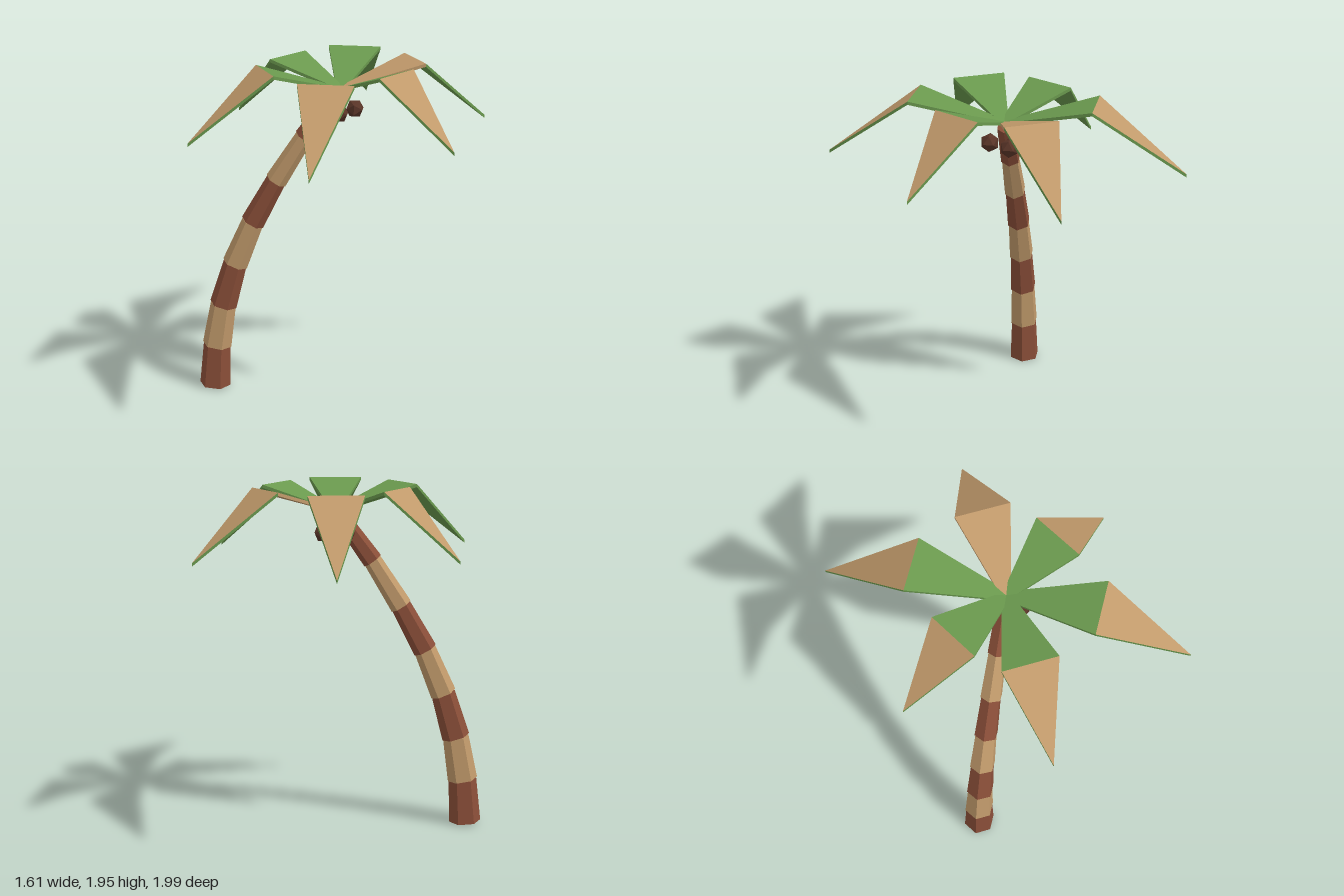
import * as THREE from 'three';

const material = (name, color) => {
  const m = new THREE.MeshStandardMaterial({ color, flatShading: true });
  m.name = name;
  return m;
};

// Thin slab under a convex outline (counter-clockwise from above): group 0 is the top, group 1 the rest
function slab(top, thickness) {
  const low = top.map(([x, y, z]) => [x, y - thickness, z]);
  const pos = [];
  const tri = (a, b, c) => pos.push(...a, ...b, ...c);
  const n = top.length;
  for (let i = 1; i < n - 1; i++) tri(top[0], top[i], top[i + 1]);
  const topCount = pos.length / 3;
  for (let i = 1; i < n - 1; i++) tri(low[0], low[i + 1], low[i]);
  for (let i = 0; i < n; i++) {
    const j = (i + 1) % n;
    tri(top[i], low[i], low[j]);
    tri(top[i], low[j], top[j]);
  }
  const g = new THREE.BufferGeometry();
  g.setAttribute('position', new THREE.Float32BufferAttribute(pos, 3));
  g.computeVertexNormals();
  g.addGroup(0, topCount, 0);
  g.addGroup(topCount, pos.length / 3 - topCount, 1);
  return g;
}

export function createModel() {
  const brown = material('brown bark', 0x8b4f39);
  const tan = material('tan', 0xc19a6b);
  const green = material('leaf green', 0x6a994e);
  const dark = material('coconut brown', 0x5a3528);

  const model = new THREE.Group();
  model.name = 'palmTree';
  const add = (parent, name, geometry, mat) => {
    const mesh = new THREE.Mesh(geometry, mat);
    mesh.name = name;
    parent.add(mesh);
    return mesh;
  };

  // Trunk: tapered six-sided segments stacked along a curve
  const trunk = new THREE.Group();
  trunk.name = 'trunk';
  model.add(trunk);
  const path = [[-0.72, 0.01], [-0.703, 0.262], [-0.66, 0.515], [-0.585, 0.77],
    [-0.478, 1.025], [-0.34, 1.278], [-0.178, 1.537], [0.005, 1.79]];
  for (let i = 0; i < 7; i++) {
    const [x0, y0] = path[i], [x1, y1] = path[i + 1];
    const r = 0.091 - i * 0.0058;
    const g = new THREE.CylinderGeometry(r - 0.011, r, Math.hypot(x1 - x0, y1 - y0), 6, 1, false, Math.PI / 2);
    const seg = add(trunk, 'trunkSegment', g, i % 2 ? tan : brown);
    seg.position.set((x0 + x1) / 2, (y0 + y1) / 2, 0);
    seg.rotation.z = -Math.atan2(x1 - x0, y1 - y0);
  }

  // Fronds: an inner blade rising to a fold, then a pointed blade drooping to the tip
  const tips = [[0.022, -0.995], [0.772, -0.42], [0.652, 0.395],
    [-0.023, 0.995], [-0.768, 0.42], [-0.653, -0.4]];
  const wide = 0.15, narrow = 0.025, t = 0.018;
  tips.forEach(([dx, dz], i) => {
    const frond = new THREE.Group();
    frond.name = 'frond';
    frond.position.x = 0.028;
    frond.rotation.y = Math.atan2(-dz, dx);
    model.add(frond);
    const len = Math.hypot(dx, dz), mid = len / 2;
    const inner = slab([[0, 1.825, narrow], [mid, 1.955, wide], [mid, 1.955, -wide], [0, 1.825, -narrow]], t);
    const outer = slab([[mid, 1.955, wide], [len, 1.592, 0], [mid, 1.955, -wide]], t);
    const innerMat = i === 1 ? tan : green;
    add(frond, 'innerBlade', inner, [innerMat, innerMat]);
    add(frond, 'outerBlade', outer, [tan, green]);
  });

  // Coconuts under the crown
  for (const [x, z] of [[0.03, 0.08], [0.1, -0.04], [-0.03, -0.045]]) {
    add(model, 'coconut', new THREE.IcosahedronGeometry(0.053, 0), dark).position.set(x, 1.7, z);
  }
  return model;
}
